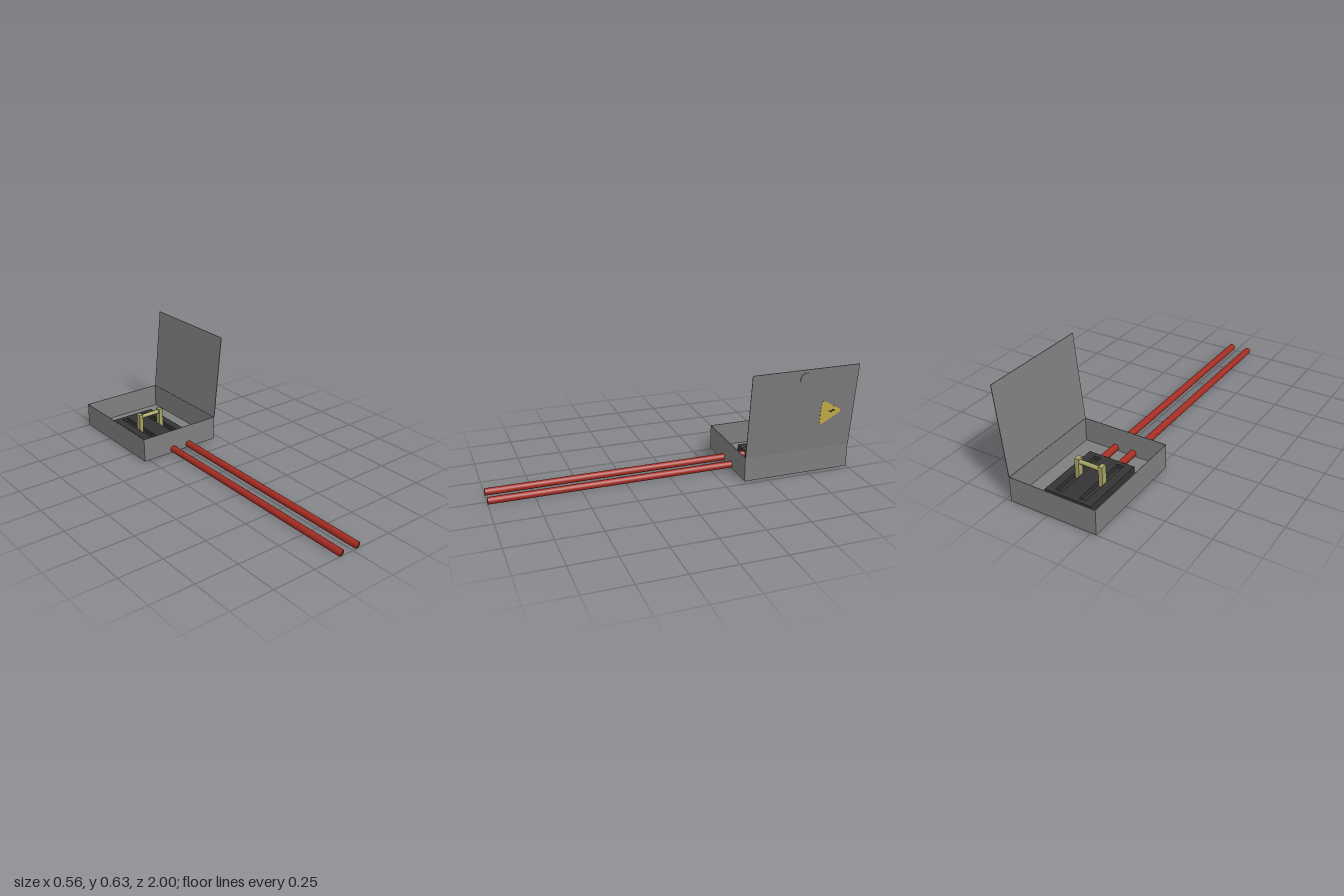
import * as THREE from 'three';
import { mergeVertices } from 'three/addons/utils/BufferGeometryUtils.js';

export function createModel() {
  const model = new THREE.Group();
  model.name = 'switchBox';

  const mat = (name, color) => {
    const m = new THREE.MeshStandardMaterial({ color });
    m.name = name;
    return m;
  };
  const grey = mat('grey casing', 0x7e7e7e);
  const dark = mat('dark base', 0x343434);
  const red = mat('red cable', 0xa32c22);
  const brass = mat('pale brass', 0xa8a468);
  const yellow = mat('warning yellow', 0xc6b04a);
  const black = mat('sign black', 0x1c1c1c);

  const add = (parent, name, geo, material, x = 0, y = 0, z = 0) => {
    const mesh = new THREE.Mesh(geo, material);
    mesh.name = name;
    mesh.position.set(x, y, z);
    parent.add(mesh);
    return mesh;
  };
  const rect = (Type, x0, x1, y0, y1) =>
    new Type([[x0, y0], [x1, y0], [x1, y1], [x0, y1]].map(([x, y]) => new THREE.Vector2(x, y)));

  // Horizontal slab with rectangular openings; ranges are in x and -z
  const slab = (outer, holes, height) => {
    const shape = rect(THREE.Shape, ...outer);
    holes.forEach((h) => shape.holes.push(rect(THREE.Path, ...h)));
    return new THREE.ExtrudeGeometry(shape, { depth: height, bevelEnabled: false }).rotateX(-Math.PI / 2);
  };

  // Open casing: thin walls and floor
  const t = 0.003;
  add(model, 'casingWalls', slab([-0.28, 0.22, 0.37, 1], [[-0.28 + t, 0.22 - t, 0.37 + t, 1 - t]], 0.14), grey);
  add(model, 'casingFloor', new THREE.BoxGeometry(0.5 - 2 * t, t, 0.63 - 2 * t), grey, -0.03, t / 2, -0.685);

  // Base block with two slots
  const slotX = [-0.103, 0.039];
  const slots = slotX.map((x) => [x - 0.019, x + 0.019, 0.525, 0.857]);
  add(model, 'switchBase', slab([-0.17, 0.104, 0.5, 0.884], slots, 0.039), dark, 0, t, 0);
  add(model, 'slotFloor', new THREE.BoxGeometry(0.26, 0.015, 0.37), dark, -0.033, 0.0105, -0.692);

  // Lever: two posts and a crossbar
  slotX.forEach((x, i) => {
    add(model, i ? 'leftPost' : 'rightPost', new THREE.BoxGeometry(0.024, 0.117, 0.034), brass, x, 0.0765, -0.687);
  });
  add(model, 'crossbar', new THREE.CylinderGeometry(0.012, 0.012, 0.15, 16).rotateZ(Math.PI / 2),
    brass, -0.032, 0.115, -0.69);

  // Cables, shaded smoothly across their ends
  const cable = new THREE.CylinderGeometry(0.0195, 0.0195, 1.5, 24).rotateX(Math.PI / 2);
  cable.deleteAttribute('normal');
  cable.deleteAttribute('uv');
  const cableGeo = mergeVertices(cable);
  cableGeo.computeVertexNormals();
  add(model, 'rightCable', cableGeo, red, -0.081, 0.0205, 0.25);
  add(model, 'leftCable', cableGeo, red, 0.027, 0.0205, 0.25);

  // Open lid, hinged on the left wall and leaning outwards
  const lid = new THREE.Group();
  lid.name = 'lid';
  lid.position.set(0.219, 0.14, 0);
  lid.rotation.z = -0.112;
  model.add(lid);
  add(lid, 'lidPanel', new THREE.BoxGeometry(0.004, 0.492, 0.63), grey, 0.002, 0.246, -0.685);
  add(lid, 'lockDisc', new THREE.CylinderGeometry(0.033, 0.033, 0.003, 32).rotateZ(Math.PI / 2),
    grey, 0.0055, 0.441, -0.682);

  // Warning sign on the outer face; points are in -z and lid height
  const plate = (name, points, depth, material, x) => {
    const shape = new THREE.Shape(points.map(([u, v]) => new THREE.Vector2(u, v)));
    const geo = new THREE.ExtrudeGeometry(shape, { depth, bevelEnabled: false }).rotateY(Math.PI / 2);
    add(lid, name, geo, material, x);
  };
  plate('warningTriangle', [[0.797, 0.16], [0.803, 0.152], [0.825, 0.158], [0.915, 0.213], [0.919, 0.222],
    [0.915, 0.231], [0.825, 0.286], [0.803, 0.292], [0.797, 0.284]], 0.0015, yellow, 0.004);
  plate('warningBolt', [[0.842, 0.23], [0.862, 0.216], [0.866, 0.224], [0.89, 0.227], [0.868, 0.236], [0.862, 0.228]],
    0.001, black, 0.0055);

  return model;
}
